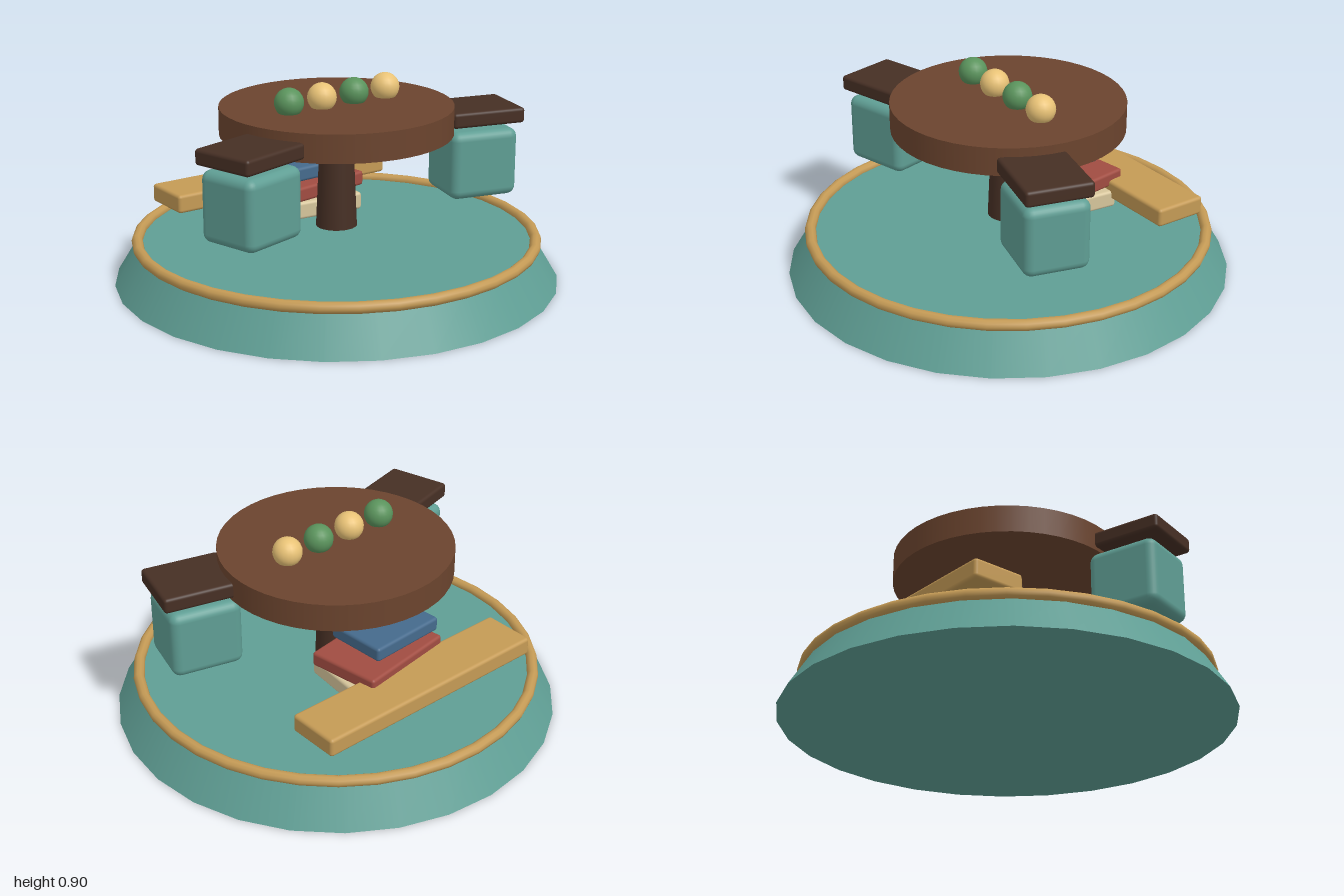
import * as THREE from 'three';
import { RoundedBoxGeometry } from 'three/addons/geometries/RoundedBoxGeometry.js';

const mat = (color) => new THREE.MeshStandardMaterial({ color });
const teal = mat(0x5f9e94), gold = mat(0xc49a55), brown = mat(0x6b442e), dark = mat(0x462f24);
const cream = mat(0xd6c59b), red = mat(0xa04c41), blue = mat(0x456a8c);
const green = mat(0x5a935c), yellow = mat(0xe8c276);

export function createModel() {
  const model = new THREE.Group();
  model.name = 'tableDiorama';

  function add(name, geometry, material, x, y, z, turn = 0) {
    const mesh = new THREE.Mesh(geometry, material);
    mesh.name = name;
    mesh.position.set(x, y, z);
    mesh.rotation.y = turn;
    model.add(mesh);
    return mesh;
  }
  const box = (w, h, d, r) => new RoundedBoxGeometry(w, h, d, 3, r);

  // Round plinth with a rim ring
  add('base', new THREE.CylinderGeometry(0.89, 1, 0.18, 28), teal, 0, 0.09, 0);
  const ring = new THREE.TorusGeometry(0.895, 0.025, 10, 36).rotateX(Math.PI / 2);
  add('rimRing', ring, gold, 0, 0.185, 0);

  // Pedestal table
  add('pedestal', new THREE.CylinderGeometry(0.073, 0.093, 0.45, 24), dark, 0, 0.455, 0);
  add('tableTop', new THREE.CylinderGeometry(0.52, 0.52, 0.125, 48), brown, 0, 0.7275, 0);

  // Row of balls on the table
  [-0.26, -0.087, 0.087, 0.26].forEach((x, i) =>
    add('ball', new THREE.SphereGeometry(0.065, 20, 14), i % 2 ? yellow : green, x, 0.835, 0.012));

  // Mirrored pair of stools: cushion block and flat slab above it
  for (const side of [-1, 1]) {
    const turn = -side * 0.26;
    add('stoolBlock', box(0.325, 0.31, 0.29, 0.04), teal, side * 0.596, 0.5, 0.231, turn);
    add('stoolSlab', box(0.35, 0.07, 0.295, 0.015), dark, side * 0.605, 0.716, 0.238, turn);
  }

  // Bench at the back
  add('bench', box(1.16, 0.085, 0.245, 0.015), gold, 0, 0.323, -0.525);

  // Stack of books
  add('bottomBook', box(0.455, 0.08, 0.34, 0.014), cream, 0, 0.28, -0.28, -0.1);
  add('middleBook', box(0.475, 0.068, 0.345, 0.014), red, 0, 0.368, -0.28, 0.15);
  add('topBook', box(0.375, 0.066, 0.285, 0.014), blue, -0.06, 0.453, -0.262, 0.06);

  return model;
}
